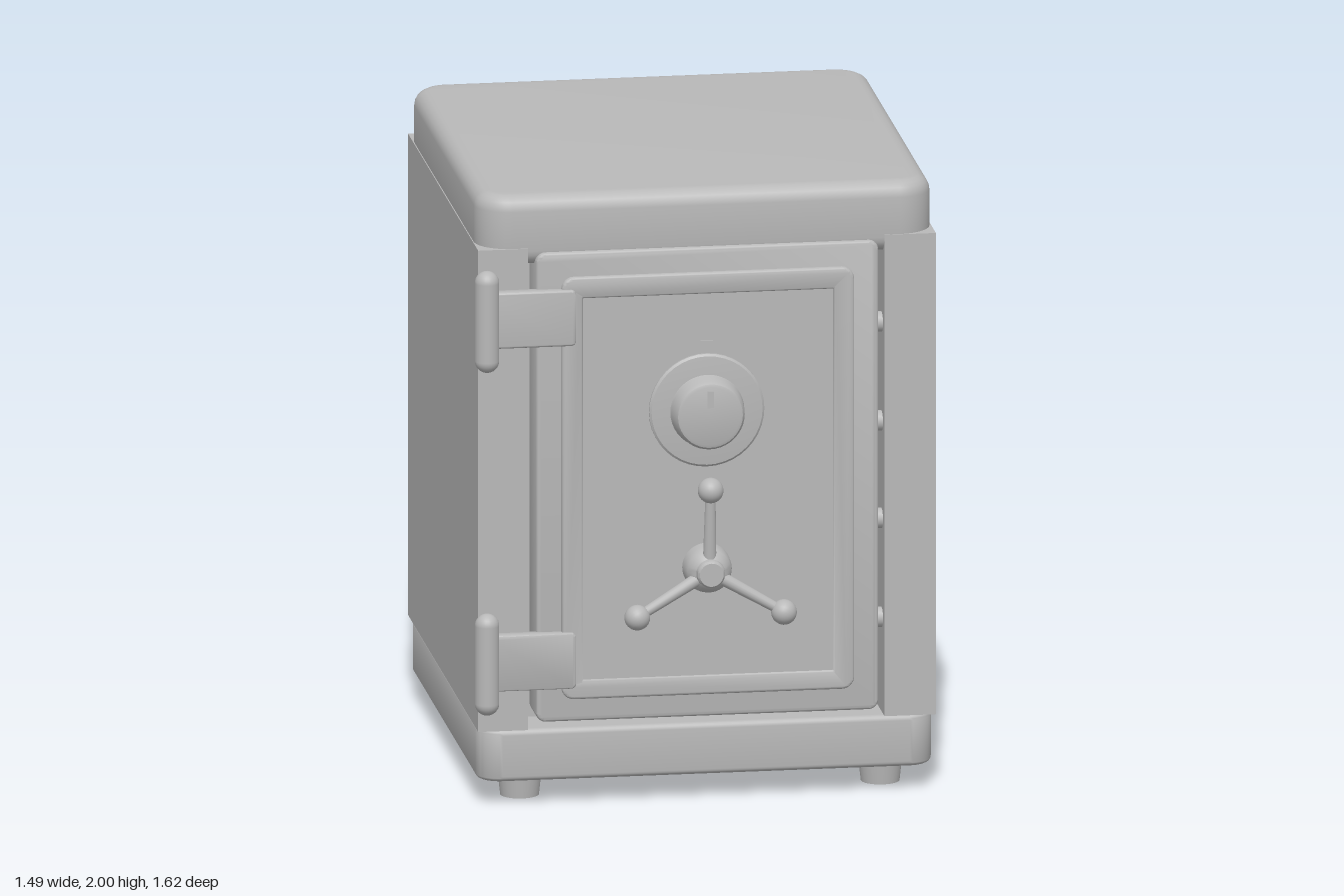
import * as THREE from 'three';
import { toCreasedNormals } from 'three/addons/utils/BufferGeometryUtils.js';

const steel = new THREE.MeshStandardMaterial({ color: 0xb8b8b8 });
steel.name = 'grey steel';

function roundedRect(path, x0, x1, y0, y1, r) {
  path.moveTo(x0 + r, y0);
  path.lineTo(x1 - r, y0);
  path.absarc(x1 - r, y0 + r, r, -Math.PI / 2, 0);
  path.absarc(x1 - r, y1 - r, r, 0, Math.PI / 2);
  path.absarc(x0 + r, y1 - r, r, Math.PI / 2, Math.PI);
  path.absarc(x0 + r, y0 + r, r, Math.PI, Math.PI * 1.5);
  return path;
}

// Rounded plate with bevelled edges; bounds include the bevel, hole is optional
function plate([x0, x1, y0, y1, z0, z1], r, bevel, hole) {
  const shape = roundedRect(new THREE.Shape(), x0 + bevel, x1 - bevel, y0 + bevel, y1 - bevel, r);
  if (hole) shape.holes.push(roundedRect(new THREE.Path(), ...hole, 0.01));
  const g = new THREE.ExtrudeGeometry(shape, {
    depth: z1 - z0 - 2 * bevel, bevelEnabled: bevel > 0, bevelSize: bevel,
    bevelThickness: bevel, bevelSegments: 5, curveSegments: 6,
  });
  g.translate(0, 0, z0 + bevel);
  return toCreasedNormals(g, 0.6);
}

// Lathe profile turned to point along +z
function turned(points, segments = 40) {
  const g = new THREE.LatheGeometry(points.map(([r, z]) => new THREE.Vector2(r, z)), segments);
  g.rotateX(Math.PI / 2);
  return toCreasedNormals(g, 0.6);
}

export function createModel() {
  const safe = new THREE.Group();
  safe.name = 'safe';

  function add(name, geometry, x = 0, y = 0, z = 0, parent = safe) {
    const mesh = new THREE.Mesh(geometry, steel);
    mesh.name = name;
    mesh.position.set(x, y, z);
    parent.add(mesh);
    return mesh;
  }
  function block(name, x0, x1, y0, y1, z0, z1, parent = safe) {
    return add(name, new THREE.BoxGeometry(x1 - x0, y1 - y0, z1 - z0),
      (x0 + x1) / 2, (y0 + y1) / 2, (z0 + z1) / 2, parent);
  }

  // Body with jambs either side of the door recess
  block('body', -0.73, 0.74, 0.25, 1.83, -0.8, 0.5);
  block('hingeJamb', -0.73, -0.57, 0.25, 1.83, 0.5, 0.665);
  block('lockJamb', 0.575, 0.74, 0.25, 1.83, 0.5, 0.665);
  block('backPanel', -0.73, 0.62, 0.25, 1.83, -0.81, -0.8);
  block('backEdgeStrip', 0.626, 0.74, 0.25, 1.83, -0.808, -0.8);

  // Rounded top cap and plinth, laid flat
  const cap = plate([-0.727, 0.735, -0.66, 0.802, 1.77, 2], 0.06, 0.05);
  cap.rotateX(-Math.PI / 2);
  add('topCap', cap);
  const plinth = plate([-0.727, 0.735, -0.66, 0.802, 0.08, 0.25], 0.06, 0.018);
  plinth.rotateX(-Math.PI / 2);
  add('plinth', plinth);

  // Feet
  for (const x of [-0.573, 0.585])
    for (const z of [0.505, -0.65])
      add('foot', new THREE.CylinderGeometry(0.072, 0.062, 0.09, 24), x, 0.045, z);

  // Door: slab, raised moulding and centre panel
  const door = new THREE.Group();
  door.name = 'door';
  safe.add(door);
  add('doorSlab', plate([-0.545, 0.555, 0.275, 1.815, 0.52, 0.673], 0.02, 0.012), 0, 0, 0, door);
  add('doorMoulding', plate([-0.465, 0.475, 0.35, 1.735, 0.66, 0.69], 0.03, 0.01,
    [-0.405, 0.415, 0.405, 1.675]), 0, 0, 0, door);
  block('doorPanel', -0.41, 0.42, 0.4, 1.68, 0.66, 0.684, door);

  // Locking bolts bridging the gap on the lock side
  for (const y of [0.56, 0.885, 1.205, 1.53]) {
    const bolt = add('lockingBolt', new THREE.CylinderGeometry(0.033, 0.033, 0.06, 20), 0.565, y, 0.6, door);
    bolt.rotation.z = Math.PI / 2;
  }

  // Hinges: strap and domed barrel
  for (const y of [0.48, 1.605]) {
    const hinge = new THREE.Group();
    hinge.name = 'hinge';
    safe.add(hinge);
    add('hingeStrap', plate([-0.7, -0.42, y - 0.092, y + 0.092, 0.655, 0.7], 0.008, 0.008), 0, 0, 0, hinge);
    add('hingeBarrel', new THREE.CapsuleGeometry(0.039, 0.255, 8, 24), -0.707, y, 0.7, hinge);
  }

  // Combination dial
  const dial = new THREE.Group();
  dial.name = 'dial';
  dial.position.set(0, 1.285, 0);
  safe.add(dial);
  add('dialRing', turned([[0.185, 0.68], [0.185, 0.692], [0.178, 0.698], [0.12, 0.704], [0, 0.704]]), 0, 0, 0, dial);
  add('dialKnob', turned([[0.122, 0.698], [0.116, 0.71], [0.112, 0.757], [0.104, 0.769], [0.095, 0.772], [0, 0.772]]), 0, 0, 0, dial);
  block('dialPointer', -0.01, 0.01, 0.028, 0.083, 0.77, 0.776, dial);
  const triangle = new THREE.Shape([[-0.022, 0.228], [0, 0.192], [0.022, 0.228]].map(p => new THREE.Vector2(...p)));
  add('dialMarker', new THREE.ExtrudeGeometry(triangle, { depth: 0.008, bevelEnabled: false }), 0, 0, 0.682, dial);

  // Three-spoke handle
  const handle = new THREE.Group();
  handle.name = 'handle';
  handle.position.set(0, 0.77, 0);
  safe.add(handle);
  add('handleHub', turned([[0.078, 0.68], [0.076, 0.72], [0.07, 0.745], [0.055, 0.765], [0.046, 0.772],
    [0.044, 0.79], [0.038, 0.797], [0, 0.797]]), 0, 0, 0, handle);
  for (let i = 0; i < 3; i++) {
    const spoke = new THREE.Group();
    spoke.name = 'spoke';
    spoke.rotation.z = i * Math.PI * 2 / 3;
    handle.add(spoke);
    const rod = add('spokeRod', new THREE.CylinderGeometry(0.016, 0.022, 0.25, 16), 0, 0.145, 0.76, spoke);
    rod.rotation.x = 0.08;
    add('spokeBall', new THREE.SphereGeometry(0.041, 24, 16), 0, 0.272, 0.772, spoke);
  }

  return safe;
}
